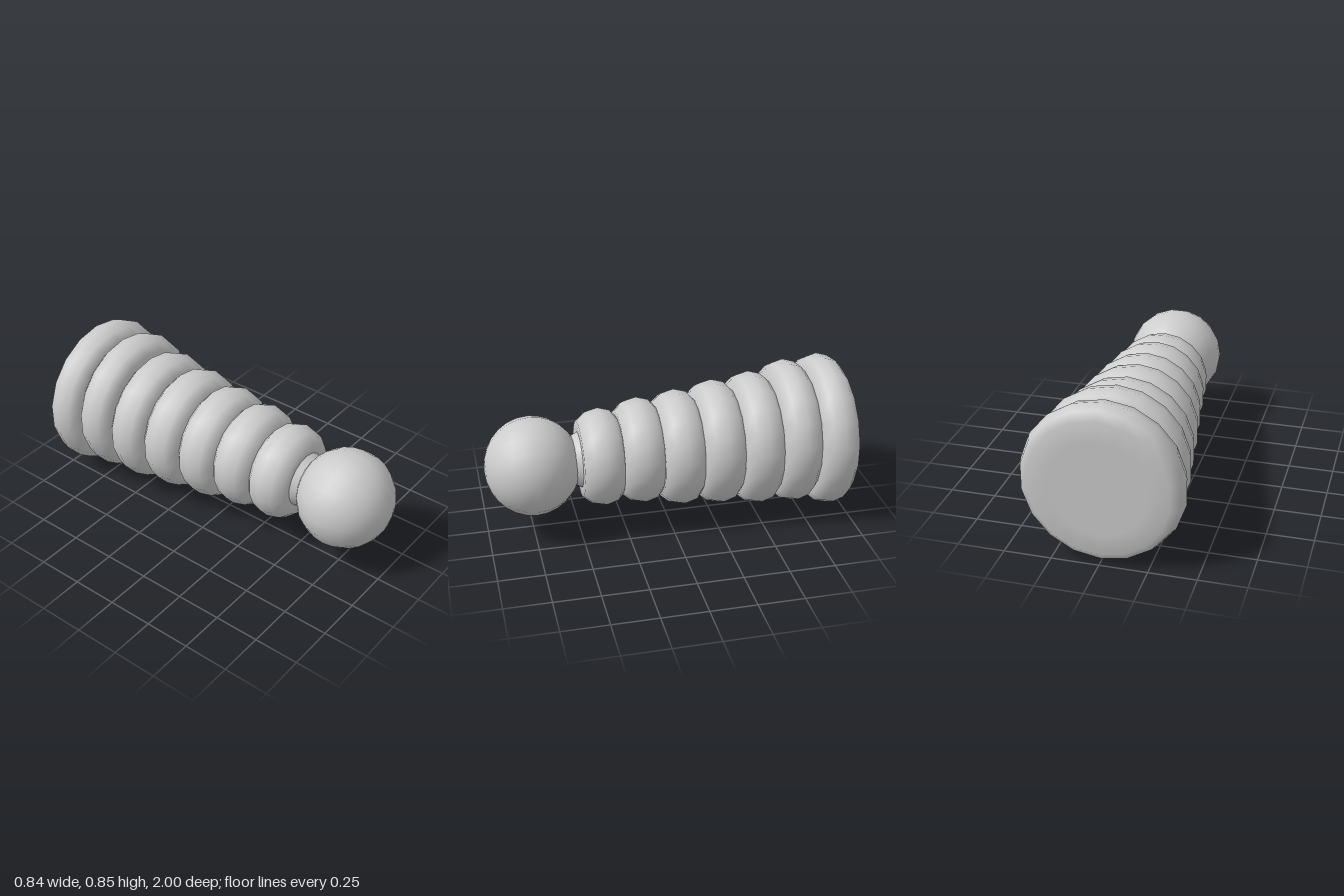
import * as THREE from 'three';

const SIDES = 18;
const material = new THREE.MeshStandardMaterial({ color: 0xcccccc });

// Closed disc with a bulging rim; its axis runs along z
function ringGeometry(radius, back, front) {
  const h = (front - back) / 2;
  const profile = [
    [0, -h], [radius * 0.6, -h], [radius - 0.06, -h],
    [radius - 0.019, -h * 0.68], [radius, -h * 0.08], [radius - 0.017, h * 0.55],
    [radius - 0.06, h], [radius * 0.6, h], [0, h],
  ].map(([r, y]) => new THREE.Vector2(r, y));
  return new THREE.LatheGeometry(profile, SIDES).rotateX(Math.PI / 2);
}

function addPart(group, name, geometry, x, y, z) {
  const mesh = new THREE.Mesh(geometry, material);
  mesh.name = name;
  mesh.position.set(x, y, z);
  group.add(mesh);
  return mesh;
}

export function createModel() {
  const group = new THREE.Group();
  group.name = 'segmentedBody';

  // Stacked rings from the wide back to the narrow front: radius, x, y, back z, front z
  const rings = [
    [0.427, 0.0, 0.429, -1.0, -0.795],
    [0.4, 0.002, 0.441, -0.8, -0.59],
    [0.371, 0.006, 0.421, -0.6, -0.38],
    [0.345, 0.011, 0.422, -0.387, -0.16],
    [0.32, 0.022, 0.418, -0.17, 0.056],
    [0.291, 0.025, 0.425, 0.045, 0.27],
    [0.268, 0.033, 0.413, 0.262, 0.485],
  ];
  rings.forEach(([radius, x, y, back, front], i) => {
    addPart(group, `bodyRing${i + 1}`, ringGeometry(radius, back, front), x, y, (back + front) / 2);
  });

  // Short neck hidden between the body and the head
  const neck = new THREE.CylinderGeometry(0.13, 0.16, 0.06, SIDES, 1, true).rotateX(Math.PI / 2);
  addPart(group, 'neck', neck, 0.035, 0.41, 0.5);

  // Round head, slightly shortened along z
  const head = new THREE.SphereGeometry(0.27, SIDES, 14).rotateX(Math.PI / 2);
  addPart(group, 'head', head, 0.042, 0.407, 0.741).scale.z = 0.96;

  return group;
}
